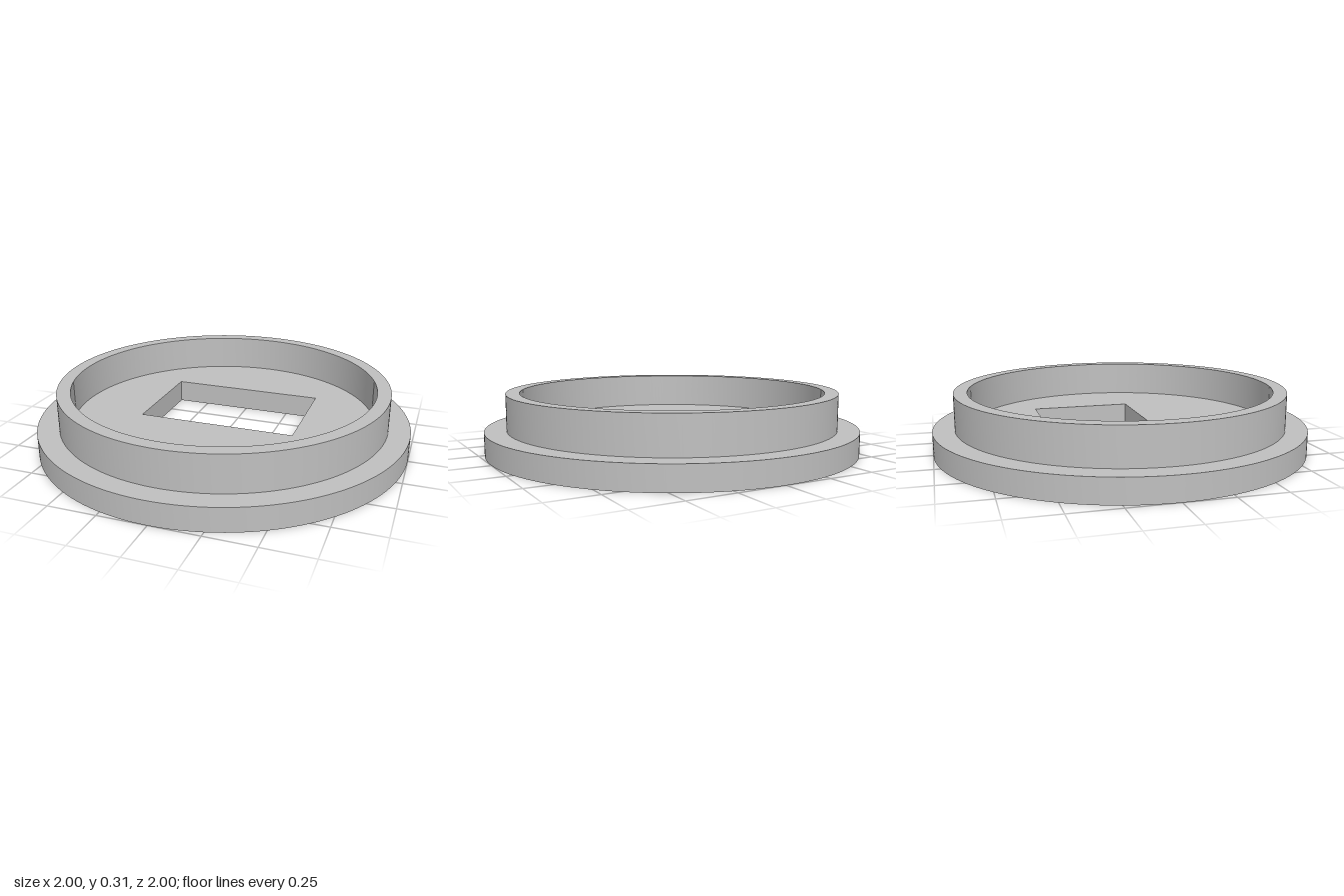
import * as THREE from 'three';
import { toCreasedNormals } from 'three/addons/utils/BufferGeometryUtils.js';

const BASE_RADIUS = 1, BASE_HEIGHT = 0.123;
const RIM_OUTER = 0.886, RIM_INNER = 0.814, TOTAL_HEIGHT = 0.315;

// Circular outline with one hole, extruded upwards from y = bottom to y = top
function disc(name, radius, hole, bottom, top, material) {
  const shape = new THREE.Shape().absarc(0, 0, radius, 0, Math.PI * 2, false);
  shape.holes.push(hole);
  const geometry = new THREE.ExtrudeGeometry(shape, {
    depth: top - bottom, bevelEnabled: false, curveSegments: 128,
  });
  geometry.rotateX(-Math.PI / 2);
  geometry.translate(0, bottom, 0);
  const mesh = new THREE.Mesh(toCreasedNormals(geometry, Math.PI / 6), material);
  mesh.name = name;
  return mesh;
}

export function createModel() {
  const group = new THREE.Group();
  group.name = 'flangedCap';
  const grey = new THREE.MeshStandardMaterial({ color: 0xbfbfbf });
  grey.name = 'light grey';

  // Rectangular cutout, set towards the back (shape y becomes -z)
  const cutout = new THREE.Path()
    .moveTo(-0.424, -0.148).lineTo(-0.424, 0.405)
    .lineTo(0.424, 0.405).lineTo(0.424, -0.148).closePath();
  group.add(disc('basePlate', BASE_RADIUS, cutout, 0, BASE_HEIGHT, grey));

  // Raised ring standing on the plate
  const bore = new THREE.Path().absarc(0, 0, RIM_INNER, 0, Math.PI * 2, true);
  group.add(disc('raisedRim', RIM_OUTER, bore, BASE_HEIGHT, TOTAL_HEIGHT, grey));

  return group;
}
